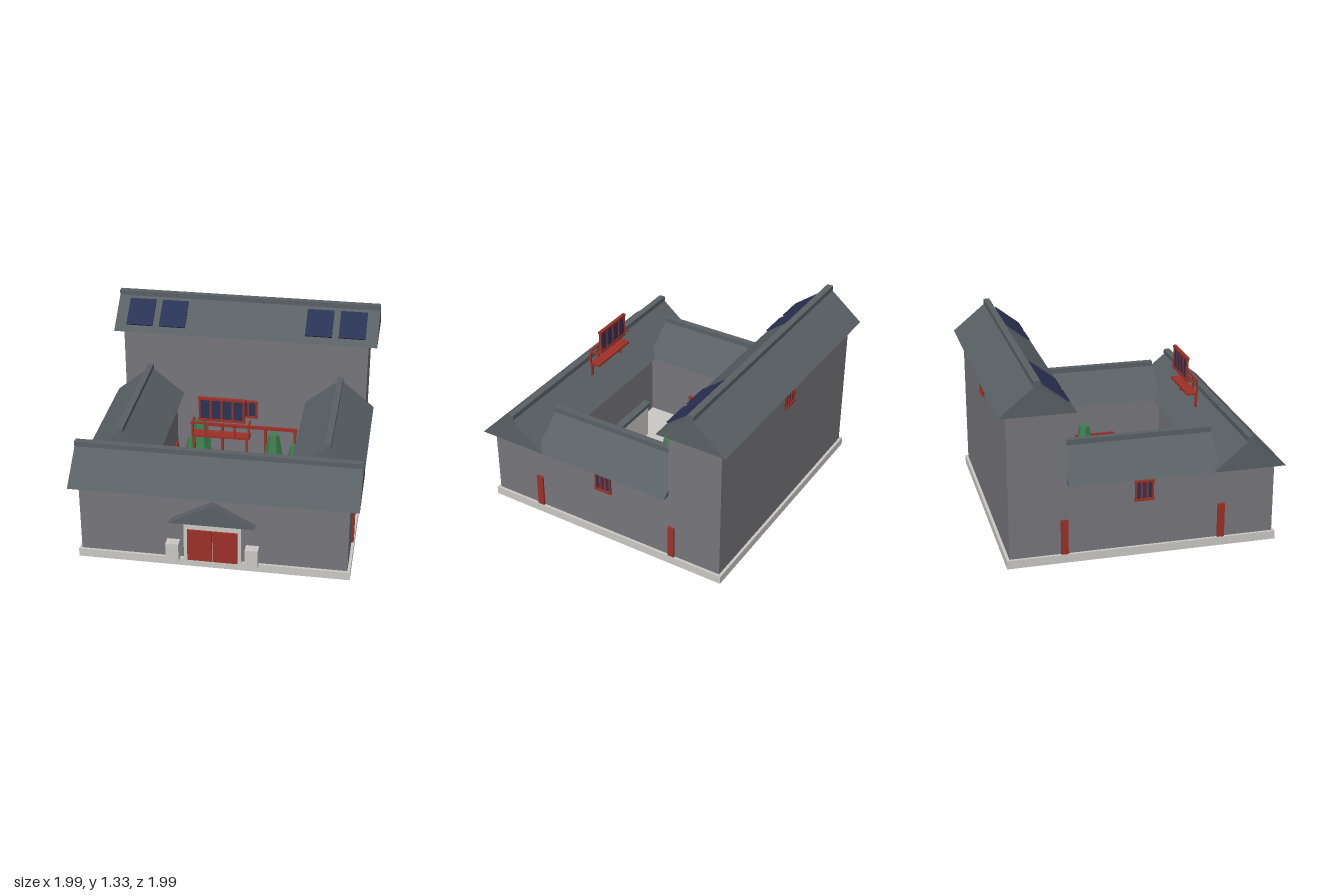
import * as THREE from 'three';

const mat = (name, color) => {
  const m = new THREE.MeshStandardMaterial({ color });
  m.name = name;
  return m;
};

export function createModel() {
  const root = new THREE.Group();
  root.name = 'courtyardHouse';
  const wall = mat('brick grey', 0x77767b);
  const tile = mat('roof tile grey', 0x596064);
  const stone = mat('pale stone', 0xcac9c5);
  const red = mat('red lacquer', 0x9c3028);
  const navy = mat('dark blue glass', 0x2b3354);
  const green = mat('leaf green', 0x3f7d50);
  const brown = mat('bark brown', 0x5b4030);
  for (const m of [green, brown]) m.flatShading = true;

  const group = (name, parent = root) => {
    const g = new THREE.Group();
    g.name = name;
    parent.add(g);
    return g;
  };
  const add = (name, geo, m, parent = root) => {
    const mesh = new THREE.Mesh(geo, m);
    mesh.name = name;
    parent.add(mesh);
    return mesh;
  };
  // Box given by its limits on each axis
  const box = (name, m, [x0, x1], [y0, y1], [z0, z1], parent = root) => {
    const mesh = add(name, new THREE.BoxGeometry(x1 - x0, y1 - y0, z1 - z0), m, parent);
    mesh.position.set((x0 + x1) / 2, (y0 + y1) / 2, (z0 + z1) / 2);
    return mesh;
  };
  // Triangular prism: gable across x, length along z, base at y = 0
  const prism = (half, height, length) => {
    const s = new THREE.Shape();
    s.moveTo(-half, 0);
    s.lineTo(half, 0);
    s.lineTo(0, height);
    s.closePath();
    return new THREE.ExtrudeGeometry(s, { depth: length, bevelEnabled: false }).translate(0, 0, -length / 2);
  };
  // Gable roof with its ridge cap
  const roof = (name, x, y, z, length, alongX) => {
    const g = group(name);
    add('roofSlopes', prism(0.26, 0.213, length), tile, g);
    box('ridgeCap', tile, [-0.023, 0.023], [0.2, 0.236], [-length / 2, length / 2], g);
    g.position.set(x, y, z);
    if (alongX) g.rotation.y = Math.PI / 2;
  };

  // Base and building blocks
  box('base', stone, [-0.95, 0.95], [0, 0.06], [-0.95, 0.945]);
  box('frontHallWalls', wall, [-0.93, 0.93], [0.06, 0.57], [0.53, 0.925]);
  box('backHallWalls', wall, [-0.93, 0.93], [0.06, 1.09], [-0.93, -0.53]);
  roof('frontHallRoof', 0, 0.57, 0.725, 1.99, true);
  roof('backHallRoof', 0, 1.09, -0.732, 1.99, true);
  for (const s of [-1, 1]) {
    const [a, b] = s < 0 ? [-0.93, -0.53] : [0.53, 0.93];
    box('wingWalls', wall, [a, b], [0.06, 0.57], [-0.53, 0.53]);
    roof('wingRoof', s * 0.732, 0.57, -0.005, 1.05, false);
  }

  // Solar panels on the front slope of the back roof
  for (const x of [-0.805, -0.555, 0.555, 0.805]) {
    const p = add('solarPanel', new THREE.BoxGeometry(0.2, 0.012, 0.225), navy);
    p.position.set(x, 1.208, -0.592);
    p.rotation.x = 0.665;
  }

  // Lattice windows, modelled facing +z
  const windowAt = (x, y, z, turn, width = 0.14) => {
    const g = group('latticeWindow');
    const h = width / 2;
    box('pane', navy, [-h + 0.005, h - 0.005], [-0.065, 0.065], [0, 0.005], g);
    for (const e of [-0.073, 0.061]) box('rail', red, [-h, h], [e, e + 0.013], [0, 0.018], g);
    for (let i = 0; i < 4; i++) {
      const bx = -h + 0.011 + (i * (width - 0.022)) / 3;
      box('bar', red, [bx - 0.006, bx + 0.006], [-0.065, 0.065], [0, 0.013], g);
    }
    g.position.set(x, y, z);
    g.rotation.y = turn;
  };
  windowAt(0.93, 0.468, 0, Math.PI / 2);
  windowAt(-0.93, 0.468, 0, -Math.PI / 2);
  windowAt(0, 0.985, -0.93, Math.PI);
  windowAt(0, 0.475, -0.53, 0, 0.21);

  // Red pilasters on the outer side walls
  for (const s of [-1, 1]) for (const z of [0.547, -0.553]) {
    box('pilaster', red, [s * 0.935 - 0.01, s * 0.935 + 0.01], [0.06, 0.31], [z - 0.025, z + 0.025]);
  }

  // Entrance: frame, double door with studs, canopy, stone blocks
  const gate = group('entrance');
  box('doorFrame', stone, [-0.2, 0.2], [0.06, 0.345], [0.915, 0.95], gate);
  for (const s of [-1, 1]) {
    const leaf = box('doorLeaf', red, [-0.086, 0.086], [0.06, 0.305], [0.94, 0.962], gate);
    leaf.position.x = s * 0.088;
    for (const x of [0.016, 0.07, 0.132]) for (const y of [0.11, 0.183, 0.255]) {
      const stud = add('doorStud', new THREE.CylinderGeometry(0.009, 0.009, 0.014, 6), red, gate);
      stud.rotation.x = Math.PI / 2;
      stud.position.set(s * x, y, 0.967);
    }
    const block = box('gateStone', stone, [-0.045, 0.045], [0.06, 0.2], [0.925, 0.995], gate);
    block.position.x = s * 0.275;
  }
  add('canopy', prism(0.297, 0.16, 0.065), tile, gate).position.set(0, 0.367, 0.954);

  // Balcony with a glazed screen above the front hall
  const balcony = group('balcony');
  box('balconyFloor', red, [-0.2, 0.2], [0.838, 0.853], [0.522, 0.602], balcony);
  box('frontRail', red, [-0.2, 0.2], [0.94, 0.952], [0.592, 0.604], balcony);
  for (const x of [-0.194, -0.098, 0.098, 0.194]) {
    box('railPost', red, [x - 0.006, x + 0.006], [0.85, 0.945], [0.592, 0.604], balcony);
  }
  for (const s of [-1, 1]) {
    box('sideRail', red, [s * 0.194 - 0.006, s * 0.194 + 0.006], [0.94, 0.952], [0.525, 0.6], balcony);
    box('leg', red, [s * 0.183 - 0.009, s * 0.183 + 0.009], [0.74, 0.84], [0.587, 0.603], balcony);
  }
  box('screenGlass', navy, [-0.155, 0.155], [0.945, 1.1], [0.53, 0.537], balcony);
  for (const y of [0.935, 1.095]) box('screenRail', red, [-0.163, 0.163], [y, y + 0.016], [0.522, 0.546], balcony);
  for (let i = -2; i <= 2; i++) {
    const x = i * 0.076;
    box('screenBar', red, [x - 0.006, x + 0.006], [0.94, 1.1], [0.525, 0.543], balcony);
  }

  // Courtyard screen wall
  box('screenWall', stone, [-0.2, 0.2], [0.06, 0.32], [0.362, 0.398]);
  box('screenWallCap', tile, [-0.22, 0.22], [0.32, 0.35], [0.35, 0.408]);

  // Galleries of posts and beams under the courtyard eaves
  const gallery = (name, half, posts, x, z, turn) => {
    const g = group(name);
    box('beam', red, [-half, half], [0.32, 0.345], [-0.009, 0.009], g);
    for (const p of posts) box('post', red, [p - 0.01, p + 0.01], [0.06, 0.32], [-0.009, 0.009], g);
    g.position.set(x, 0, z);
    g.rotation.y = turn;
  };
  gallery('backGallery', 0.42, [-0.4, -0.17, 0.17, 0.4], 0, -0.495, 0);
  for (const s of [-1, 1]) gallery('sideGallery', 0.152, [-0.14, 0.14], s * 0.457, -0.008, Math.PI / 2);

  // Six-sided tapered foliage, points along x
  const foliage = (r0, r1, y0, y1, parent) => {
    const f = add('foliage', new THREE.CylinderGeometry(r1, r0, y1 - y0, 6), green, parent);
    f.rotation.y = Math.PI / 2;
    f.position.y = (y0 + y1) / 2;
  };
  const tree = (x, z, r, top) => {
    const g = group('tree');
    const h = top - 0.14;
    add('trunk', new THREE.CylinderGeometry(0.02, 0.025, 0.1, 6), brown, g).position.y = 0.11;
    foliage(r, r * 0.55, 0.14, 0.14 + h * 0.5, g);
    foliage(r * 0.65, r * 0.36, 0.14 + h * 0.5, top, g);
    g.position.set(x, 0, z);
  };
  tree(-0.285, -0.21, 0.12, 0.535);
  tree(0.28, -0.13, 0.108, 0.49);

  // Potted shrubs
  for (const [x, z] of [[-0.405, -0.412], [0.4, -0.412], [-0.405, 0.142]]) {
    const g = group('pottedShrub');
    box('pot', stone, [-0.048, 0.048], [0.06, 0.13], [-0.048, 0.048], g);
    foliage(0.05, 0.022, 0.13, 0.25, g);
    g.position.set(x, 0, z);
  }

  return root;
}
